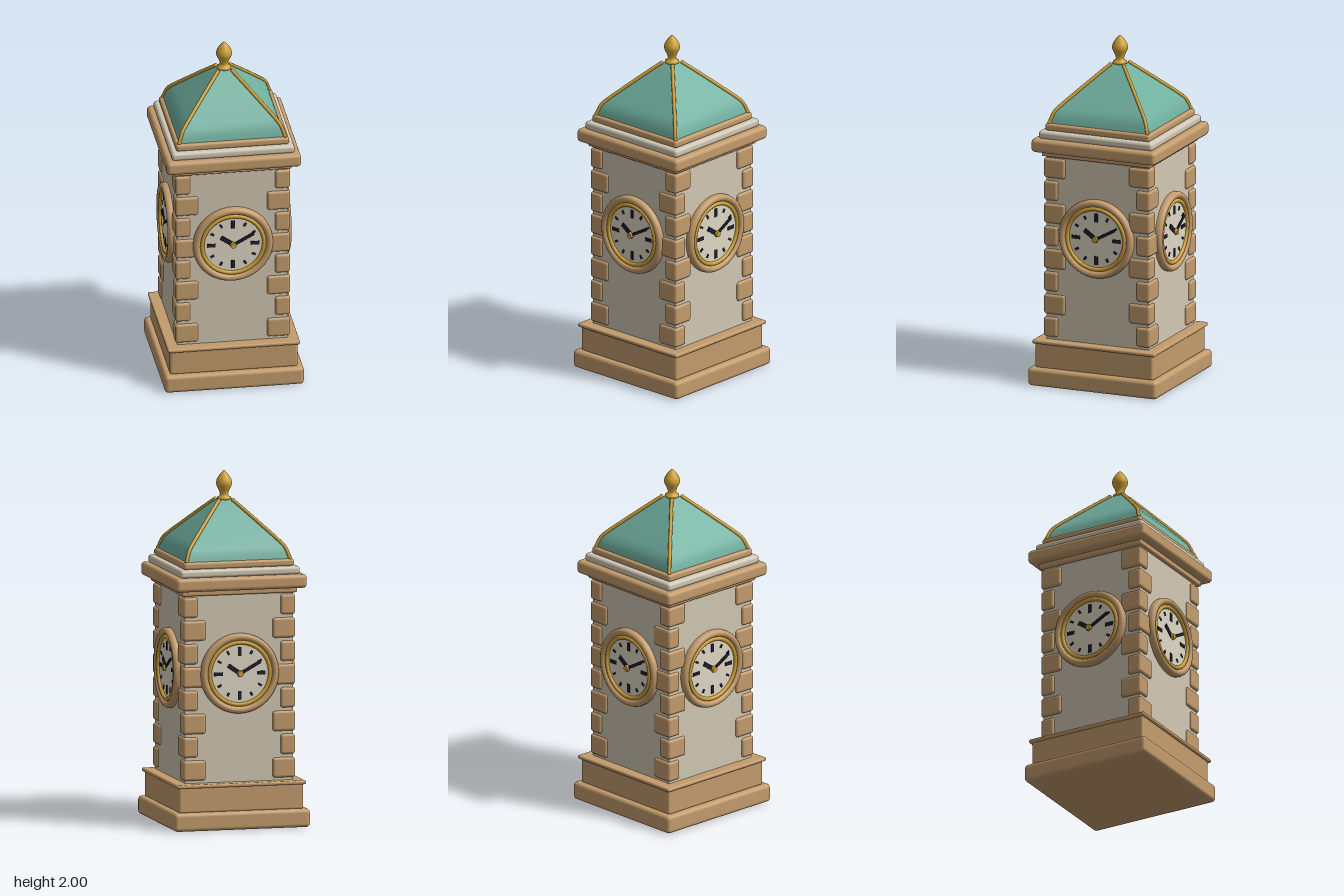
import * as THREE from 'three';
import { RoundedBoxGeometry } from 'three/addons/geometries/RoundedBoxGeometry.js';

const material = (name, color, side = THREE.FrontSide) => {
  const m = new THREE.MeshStandardMaterial({ color, side });
  m.name = name;
  return m;
};

export function createModel() {
  const stone = material('tan stone', 0xc49c6c);
  const plaster = material('pale plaster', 0xd2c8b4);
  const copper = material('green copper', 0x70b09f, THREE.DoubleSide);
  const gold = material('gold', 0xcfa136);
  const dialWhite = material('dial cream', 0xe0d8c6);
  const ink = material('dark ink', 0x1c1d28);

  const model = new THREE.Group();
  model.name = 'clockTower';
  const add = (parent, name, geometry, mat, x = 0, y = 0, z = 0) => {
    const mesh = new THREE.Mesh(geometry, mat);
    mesh.name = name;
    mesh.position.set(x, y, z);
    parent.add(mesh);
    return mesh;
  };

  // Square courses: name, half width, bottom, top, edge radius, material
  const courses = [
    ['plinth', 0.398, 0, 0.105, 0.022, stone],
    ['baseBlock', 0.365, 0.1, 0.25, 0.014, stone],
    ['baseTrim', 0.378, 0.243, 0.265, 0.009, stone],
    ['corniceBed', 0.337, 1.335, 1.37, 0.01, stone],
    ['cornice', 0.384, 1.364, 1.442, 0.022, stone],
    ['paleCourse', 0.351, 1.438, 1.486, 0.018, plaster],
    ['roofCurb', 0.323, 1.483, 1.525, 0.014, stone],
  ];
  for (const [name, half, y0, y1, r, mat] of courses) {
    add(model, name, new RoundedBoxGeometry(2 * half, y1 - y0, 2 * half, 3, r), mat, 0, (y0 + y1) / 2, 0);
  }
  add(model, 'shaft', new THREE.BoxGeometry(0.632, 1.1, 0.632), plaster, 0, 0.8, 0);

  // Corner stones alternate their long side between x and z
  const outer = 0.329, long = 0.133, short = 0.087;
  for (let row = 0; row < 8; row++) {
    const w = row % 2 ? short : long;
    const d = row % 2 ? long : short;
    const geometry = new RoundedBoxGeometry(w, 0.116, d, 3, 0.016);
    for (const sx of [-1, 1]) for (const sz of [-1, 1]) {
      add(model, 'cornerStone', geometry, stone, sx * (outer - w / 2), 0.337 + row * 0.133, sz * (outer - d / 2));
    }
  }

  // Clock parts are turned around y, then faced toward +z
  const turned = (points) =>
    new THREE.LatheGeometry(points.map(([r, y]) => new THREE.Vector2(r, y)), 48).rotateX(Math.PI / 2);
  const surround = turned([
    [0.226, 0.3], [0.229, 0.325], [0.228, 0.338], [0.223, 0.348], [0.214, 0.354],
    [0.204, 0.354], [0.195, 0.349], [0.189, 0.34], [0.187, 0.32],
  ]);
  const bezel = new THREE.TorusGeometry(0.177, 0.012, 10, 48);
  const dial = new THREE.CylinderGeometry(0.178, 0.178, 0.02, 48).rotateX(Math.PI / 2);
  const hub = new THREE.CylinderGeometry(0.016, 0.019, 0.014, 20).rotateX(Math.PI / 2);

  // A radial bar on the dial, clockwise angle from twelve
  const bar = (parent, name, width, from, to, z, degrees) => {
    const geometry = new THREE.BoxGeometry(width, to - from, 0.005).translate(0, (from + to) / 2, 0);
    add(parent, name, geometry, ink, 0, 0, z).rotation.z = -THREE.MathUtils.degToRad(degrees);
  };

  for (let side = 0; side < 4; side++) {
    const clock = new THREE.Group();
    clock.name = 'clock';
    clock.position.y = 0.885;
    clock.rotation.y = side * Math.PI / 2;
    model.add(clock);
    add(clock, 'clockSurround', surround, stone);
    add(clock, 'clockBezel', bezel, gold, 0, 0, 0.337);
    add(clock, 'clockDial', dial, dialWhite, 0, 0, 0.324);
    for (let hour = 0; hour < 12; hour++) {
      if (hour % 3 === 0) bar(clock, 'quarterMark', 0.021, 0.1, 0.15, 0.335, hour * 30);
      else bar(clock, 'hourMark', 0.013, 0.125, 0.148, 0.335, hour * 30);
    }
    bar(clock, 'hourHand', 0.026, 0, 0.085, 0.341, 305);
    bar(clock, 'minuteHand', 0.018, 0, 0.135, 0.346, 61);
    add(clock, 'clockHub', hub, gold, 0, 0, 0.352);
  }

  // Roof profile from top to eaves: half width, height
  const roof = [
    [0.022, 1.845], [0.06, 1.812], [0.12, 1.753], [0.19, 1.683],
    [0.25, 1.622], [0.279, 1.588], [0.293, 1.556], [0.303, 1.522],
  ];
  const slope = new THREE.PlaneGeometry(2, 1, 1, roof.length - 1);
  const pos = slope.attributes.position;
  for (let i = 0; i < pos.count; i++) {
    const [half, y] = roof[Math.floor(i / 2)];
    pos.setXYZ(i, i % 2 ? half : -half, y, half);
  }
  slope.computeVertexNormals();

  // Hip ribs follow the same profile along the diagonals
  const ribCurve = new THREE.CatmullRomCurve3(
    roof.slice(1).map(([half, y]) => new THREE.Vector3(half, y + 0.004, half)));
  ribCurve.points[0].set(0.042, 1.833, 0.042);
  const rib = new THREE.TubeGeometry(ribCurve, 24, 0.0105, 8);
  const ribEnd = new THREE.SphereGeometry(0.0115, 10, 8);
  for (let side = 0; side < 4; side++) {
    const quarter = new THREE.Group();
    quarter.name = 'roofSide';
    quarter.rotation.y = side * Math.PI / 2;
    model.add(quarter);
    add(quarter, 'roofSlope', slope, copper);
    add(quarter, 'hipRib', rib, gold);
    add(quarter, 'ribTop', ribEnd, gold, 0.042, 1.833, 0.042);
    add(quarter, 'ribFoot', ribEnd, gold, 0.303, 1.53, 0.303);
  }

  // Finial
  const finial = [
    [0, 1.825], [0.03, 1.828], [0.041, 1.836], [0.04, 1.846], [0.027, 1.853], [0.023, 1.866],
    [0.03, 1.888], [0.042, 1.912], [0.046, 1.93], [0.04, 1.952], [0.025, 1.975], [0.01, 1.993], [0, 2],
  ];
  add(model, 'finial', new THREE.LatheGeometry(finial.map(([r, y]) => new THREE.Vector2(r, y)), 28), gold);

  return model;
}
